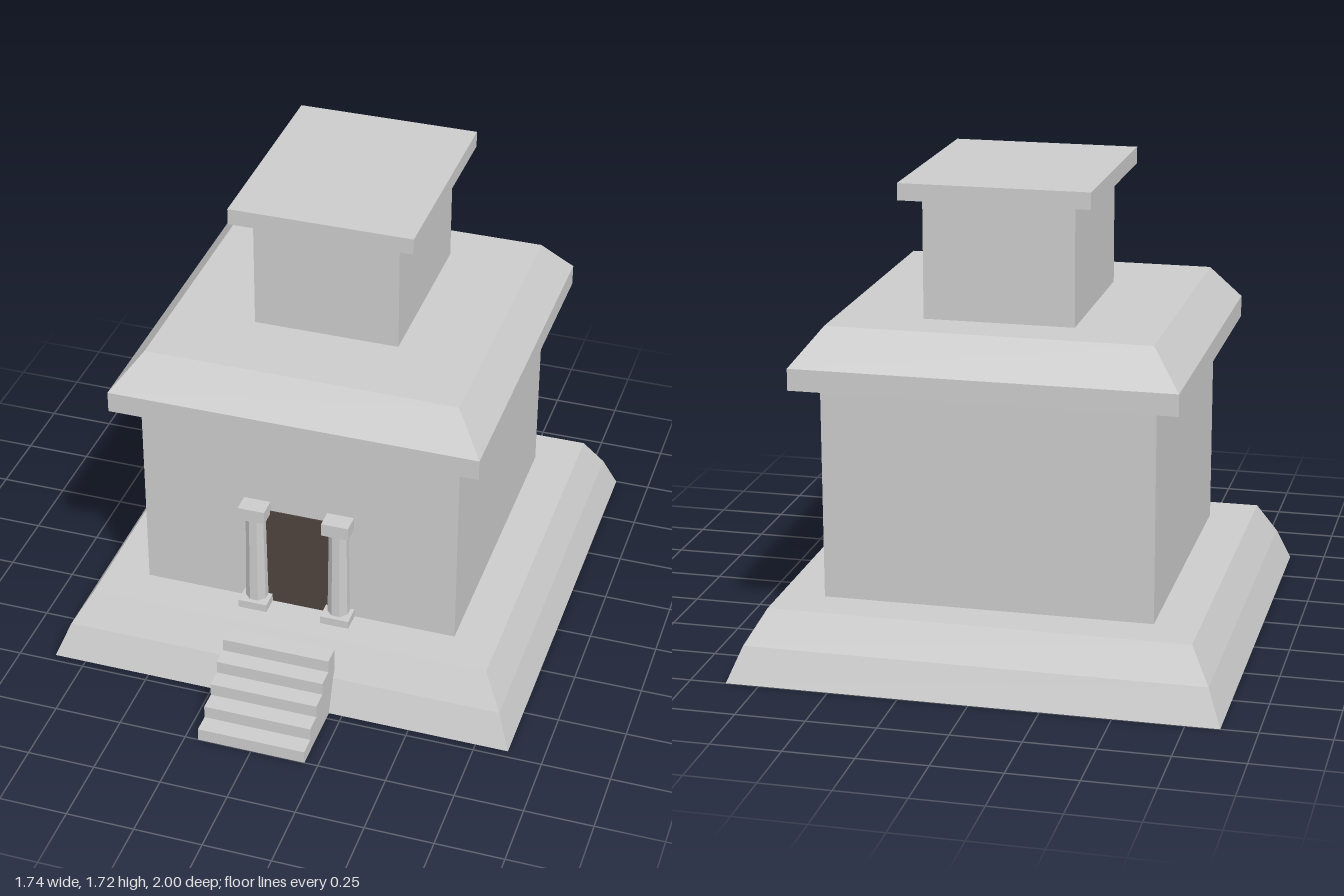
import * as THREE from 'three';

const stone = new THREE.MeshStandardMaterial({ color: 0xcccccc });
stone.name = 'stone grey';
const dark = new THREE.MeshStandardMaterial({ color: 0x4f443e });
dark.name = 'door brown';

function add(parent, name, geometry, material = stone) {
  const mesh = new THREE.Mesh(geometry, material);
  mesh.name = name;
  parent.add(mesh);
  return mesh;
}

// Box given by its limits on each axis
function block(x0, x1, y0, y1, z0, z1) {
  return new THREE.BoxGeometry(x1 - x0, y1 - y0, z1 - z0)
    .translate((x0 + x1) / 2, (y0 + y1) / 2, (z0 + z1) / 2);
}

// Flat-sided solid through stacked rectangles: [half width, y, back z, front z]
function stack(rings) {
  const corners = rings.map(([x, y, b, f]) => [[-x, y, f], [x, y, f], [x, y, b], [-x, y, b]]);
  const points = [];
  const quad = (a, b, c, d) => points.push(...a, ...b, ...c, ...a, ...c, ...d);
  for (let r = 0; r < corners.length - 1; r++) {
    for (let i = 0; i < 4; i++) {
      const j = (i + 1) % 4;
      quad(corners[r][i], corners[r][j], corners[r + 1][j], corners[r + 1][i]);
    }
  }
  const top = corners[corners.length - 1];
  const low = corners[0];
  quad(top[0], top[1], top[2], top[3]);
  quad(low[3], low[2], low[1], low[0]);
  const geometry = new THREE.BufferGeometry();
  geometry.setAttribute('position', new THREE.Float32BufferAttribute(points, 3));
  geometry.computeVertexNormals();
  return geometry;
}

export function createModel() {
  const model = new THREE.Group();
  model.name = 'temple';

  // Battered plinth, walls, roof and upper tower
  add(model, 'plinth', stack([
    [0.87, 0, -1, 0.72], [0.82, 0.125, -0.95, 0.67], [0.75, 0.245, -0.88, 0.602],
  ]));
  add(model, 'walls', block(-0.59, 0.59, 0.245, 1.02, -0.725, 0.45));
  add(model, 'roof', stack([
    [0.68, 1.02, -0.81, 0.535], [0.68, 1.098, -0.81, 0.535], [0.575, 1.23, -0.708, 0.43],
  ]));
  add(model, 'tower', block(-0.268, 0.268, 1.23, 1.66, -0.54, 0.13));
  add(model, 'towerCap', block(-0.337, 0.337, 1.66, 1.72, -0.61, 0.198));

  // Stepped flight, drawn as a side profile and extruded across
  const steps = 5, back = 0.655, run = 0.069, rise = 0.049;
  const profile = new THREE.Shape();
  profile.moveTo(back, 0);
  profile.lineTo(1, 0);
  for (let i = 0; i < steps; i++) {
    profile.lineTo(1 - i * run, (i + 1) * rise);
    profile.lineTo(1 - (i + 1) * run, (i + 1) * rise);
  }
  const stairs = new THREE.ExtrudeGeometry(profile, { depth: 0.4, bevelEnabled: false });
  stairs.rotateY(-Math.PI / 2).translate(0.2, 0, 0);
  add(model, 'stairs', stairs);

  // Doorway panel
  add(model, 'door', block(-0.125, 0.125, 0.245, 0.652, 0.446, 0.454), dark);

  // Columns beside the doorway
  for (const side of [-1, 1]) {
    const column = new THREE.Group();
    column.name = side > 0 ? 'leftColumn' : 'rightColumn';
    column.position.x = side * 0.157;
    add(column, 'columnBase', block(-0.054, 0.054, 0.245, 0.276, 0.44, 0.526));
    const shaft = new THREE.CylinderGeometry(0.036, 0.041, 0.366, 8).toNonIndexed();
    shaft.computeVertexNormals();
    shaft.rotateY(Math.PI / 8).translate(0, 0.459, 0.47);
    add(column, 'columnShaft', shaft);
    add(column, 'columnCapital', block(-0.05, 0.05, 0.64, 0.69, 0.44, 0.52));
    model.add(column);
  }
  return model;
}
